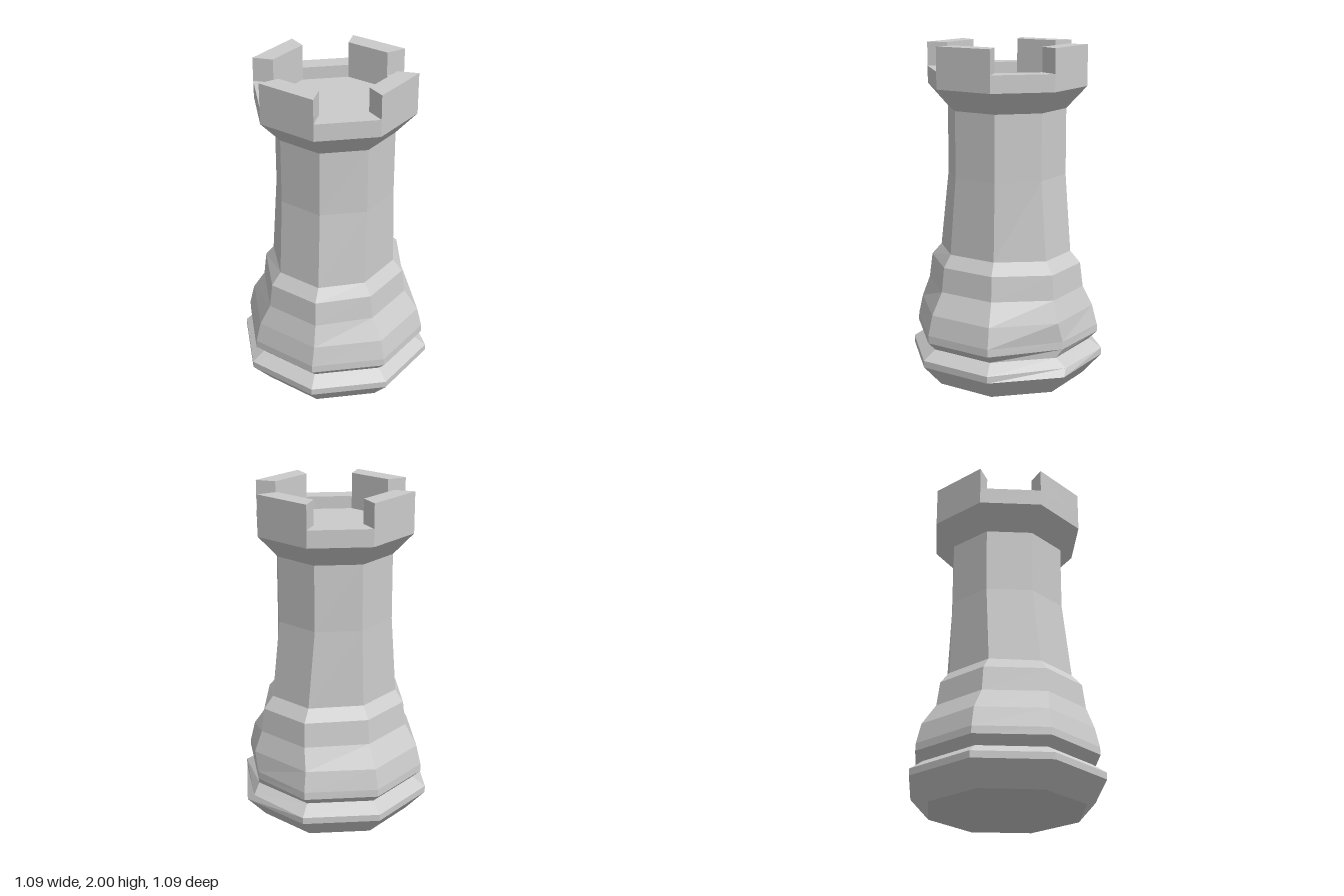
import * as THREE from 'three';

const material = new THREE.MeshStandardMaterial({ color: 0xcccccc, flatShading: true });
const T = Math.tan(Math.PI / 8);

// Regular eight-sided ring with a flat face towards each axis
const regular = (y, r) => ring(y, r, r, -r * T, r * T, -r * T, r * T);

// Irregular ring: half sizes, then the corner positions along the front and side faces
function ring(y, hx, hz, x0, x1, z0, z1, backRight = [x1, -hz]) {
  return [[x0, hz], [x1, hz], [hx, z1], [hx, z0], backRight, [x0, -hz], [-hx, z0], [-hx, z1]]
    .map(([x, z]) => new THREE.Vector3(x, y, z));
}

// Skin consecutive rings; optional flat caps below and above
function loft(name, rings, capBottom = false, capTop = false) {
  const points = [];
  for (let i = 0; i + 1 < rings.length; i++) {
    for (let j = 0; j < 8; j++) {
      const k = (j + 1) % 8, a = rings[i], b = rings[i + 1];
      points.push(a[j], a[k], b[k], a[j], b[k], b[j]);
    }
  }
  const first = rings[0], last = rings[rings.length - 1];
  for (let j = 1; j < 7; j++) {
    if (capBottom) points.push(first[0], first[j + 1], first[j]);
    if (capTop) points.push(last[0], last[j], last[j + 1]);
  }
  const geometry = new THREE.BufferGeometry().setFromPoints(points);
  geometry.computeVertexNormals();
  const mesh = new THREE.Mesh(geometry, material);
  mesh.name = name;
  return mesh;
}

export function createModel() {
  const group = new THREE.Group();
  group.name = 'rook';

  // Foot ring, bevelled below and pinched above
  const neck = regular(0.225, 0.47);
  group.add(loft('foot', [
    regular(0, 0.435),
    regular(0.13, 0.543),
    ring(0.17, 0.543, 0.543, -0.225, 0.225, -0.225, 0.225, [0.18, -0.53]),
    neck,
  ], true));

  // Flared skirt and tapering shaft, slightly uneven like a hand-cut piece
  const shaftTop = regular(1.63, 0.327);
  group.add(loft('body', [
    neck,
    ring(0.275, 0.517, 0.517, -0.215, 0.21, -0.21, 0.21, [0.17, -0.5]),
    ring(0.32, 0.515, 0.515, -0.213, 0.21, -0.21, 0.21, [0.17, -0.5]),
    ring(0.44, 0.487, 0.487, -0.2, 0.205, -0.2, 0.2),
    ring(0.565, 0.41, 0.445, -0.155, 0.185, -0.165, 0.185),
    ring(0.71, 0.393, 0.43, -0.145, 0.175, -0.155, 0.18),
    ring(0.78, 0.34, 0.373, -0.125, 0.155, -0.135, 0.17),
    ring(1.24, 0.327, 0.327, -0.137, 0.135, -0.135, 0.137),
    shaftTop,
  ]));

  // Crown: flare, rim and sunken floor
  const outer = 0.438, inner = 0.327, rimY = 1.86;
  group.add(loft('crown', [
    shaftTop,
    regular(1.76, outer),
    regular(rimY, outer),
    regular(rimY, inner),
    regular(1.785, inner),
  ], false, true));

  // Four mitred battlements on the axis faces
  const outline = new THREE.Shape([
    new THREE.Vector2(-outer * T, -outer),
    new THREE.Vector2(outer * T, -outer),
    new THREE.Vector2(inner * T, -inner),
    new THREE.Vector2(-inner * T, -inner),
  ]);
  const block = new THREE.ExtrudeGeometry(outline, { depth: 2 - rimY, bevelEnabled: false });
  block.rotateX(-Math.PI / 2);
  for (let i = 0; i < 4; i++) {
    const battlement = new THREE.Mesh(block, material);
    battlement.name = 'battlement' + (i + 1);
    battlement.position.y = rimY;
    battlement.rotation.y = i * Math.PI / 2;
    group.add(battlement);
  }
  return group;
}
